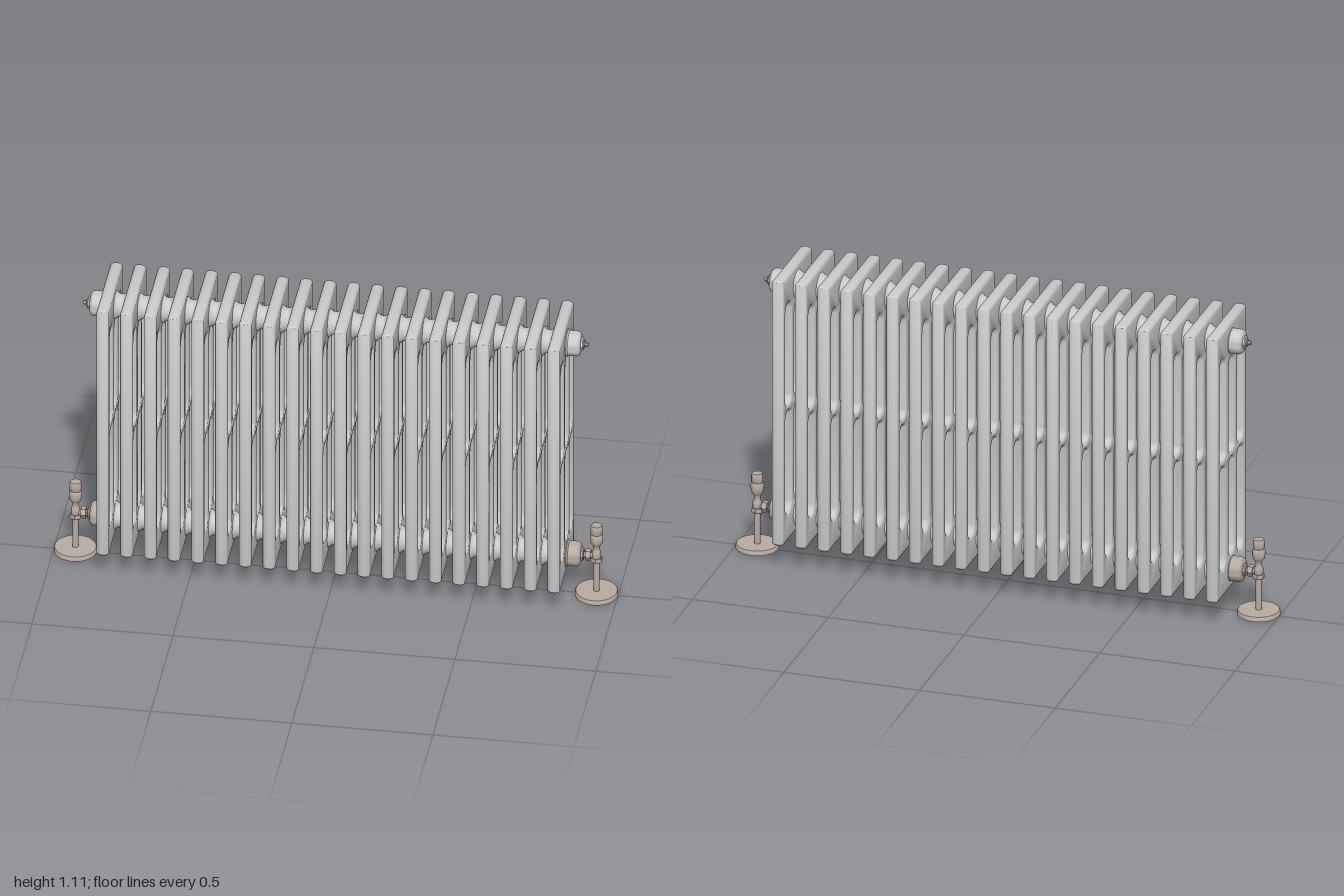
import * as THREE from 'three';
import { toCreasedNormals } from 'three/addons/utils/BufferGeometryUtils.js';

const grey = new THREE.MeshStandardMaterial({ color: 0xcccccc });
const nickel = new THREE.MeshStandardMaterial({ color: 0xb8aca2 });

const COUNT = 20, FIRST = -0.803, PITCH = 0.0842, THICK = 0.044;
const HUB_TOP = 1.032, HUB_LOW = 0.16;

// Turned part about +y from [radius, height] pairs
function turned(profile, sides = 24) {
  const points = profile.map(([r, y]) => new THREE.Vector2(r, y));
  return toCreasedNormals(new THREE.LatheGeometry(points, sides), 0.7);
}

function add(parent, name, geometry, material, x = 0, y = 0, z = 0) {
  const mesh = new THREE.Mesh(geometry, material);
  mesh.name = name;
  mesh.position.set(x, y, z);
  parent.add(mesh);
  return mesh;
}

// Slot with one elliptical end at the bottom and one at the top
function slot(cx, half, low, high, lowRise, highRise) {
  const p = new THREE.Path();
  p.moveTo(cx + half, low + lowRise);
  p.absellipse(cx, high - highRise, half, highRise, 0, Math.PI, false);
  p.absellipse(cx, low + lowRise, half, lowRise, Math.PI, Math.PI * 2, false);
  return p;
}

// One pierced section: four columns, a middle web and two headers
function sectionGeometry() {
  const w = 0.168, low = 0.09, high = 1.105, r = 0.012;
  const s = new THREE.Shape();
  s.absarc(w - r, high - r, r, 0, Math.PI / 2, false);
  s.absarc(-w + r, high - r, r, Math.PI / 2, Math.PI, false);
  s.absarc(-w + r, low + r, r, Math.PI, Math.PI * 1.5, false);
  s.absarc(w - r, low + r, r, Math.PI * 1.5, Math.PI * 2, false);
  const rise = 0.022;
  for (const cx of [-0.1, 0.1]) {
    s.holes.push(slot(cx, 0.031, 0.195, 0.584, 0.031, rise));
    s.holes.push(slot(cx, 0.031, 0.612, 0.998, rise, 0.031));
  }
  s.holes.push(slot(0, 0.028, 0.22, 0.584, 0.028, rise));
  s.holes.push(slot(0, 0.028, 0.612, 0.97, rise, 0.028));
  const bevel = 0.018, depth = THICK - 2 * bevel;
  const g = new THREE.ExtrudeGeometry(s, {
    depth, curveSegments: 6, bevelEnabled: true, bevelThickness: bevel,
    bevelSize: 0.0115, bevelOffset: -0.0115, bevelSegments: 3
  });
  g.translate(0, 0, -depth / 2);
  g.rotateY(Math.PI / 2);
  return toCreasedNormals(g, 0.8);
}

// Valve with floor plate, pipe, body and head, joined to the lower hub
function valve(side) {
  const v = new THREE.Group();
  v.name = side > 0 ? 'leftValve' : 'rightValve';
  v.position.x = side * 0.924;
  add(v, 'floorPlate', turned([[0, 0], [0.076, 0], [0.076, 0.013], [0.073, 0.017], [0, 0.017]], 40), nickel);
  add(v, 'pipe', turned([[0.011, 0.015], [0.011, 0.145]], 16), nickel);
  add(v, 'pipeNut', turned([[0, 0.136], [0.02, 0.136], [0.022, 0.14], [0.022, 0.148], [0.02, 0.152], [0, 0.152]], 6), nickel);
  add(v, 'valveBody', turned([[0.013, 0.148], [0.016, 0.155], [0.016, 0.175], [0.012, 0.183], [0.012, 0.2], [0.016, 0.208], [0, 0.208]], 20), nickel);
  add(v, 'valveHead', turned([[0, 0.204], [0.015, 0.204], [0.021, 0.213], [0.023, 0.225], [0.023, 0.243],
    [0.019, 0.25], [0.021, 0.254], [0.021, 0.278], [0.018, 0.285], [0, 0.285]], 24), nickel);
  // Sideways union towards the radiator
  const union = new THREE.Group();
  union.name = 'union';
  union.position.y = HUB_LOW;
  union.rotation.z = side * Math.PI / 2;
  v.add(union);
  add(union, 'tail', turned([[0.01, 0], [0.01, 0.065]], 16), nickel);
  add(union, 'unionNut', turned([[0, 0.02], [0.02, 0.02], [0.022, 0.024], [0.022, 0.034], [0.02, 0.038], [0, 0.038]], 6), nickel);
  return v;
}

// Rounded end boss with a hexagonal plug, pointing outwards
function endBoss(side, y, material, plugged) {
  const b = new THREE.Group();
  b.name = plugged ? 'upperEndBoss' : 'lowerEndBoss';
  b.position.set(side * 0.81, y, 0);
  b.rotation.z = -side * Math.PI / 2;
  add(b, 'boss', turned([[0.05, 0], [0.05, 0.012], [0.045, 0.017], [0.045, 0.046], [0.043, 0.053],
    [0.038, 0.058], [0.03, 0.06], [0, 0.06]], 32), material);
  add(b, 'hexNut', turned([[0.023, 0.058], [0.023, 0.067], [0.02, 0.07], [0, 0.07]], 6), material);
  if (plugged) {
    add(b, 'bleedCollar', turned([[0.014, 0.068], [0.014, 0.074], [0, 0.074]], 16), nickel);
    add(b, 'bleedPin', turned([[0.008, 0.07], [0.008, 0.085], [0, 0.085]], 6), nickel);
  }
  return b;
}

export function createModel() {
  const model = new THREE.Group();
  model.name = 'columnRadiator';

  // Row of sections
  const section = sectionGeometry();
  for (let i = 0; i < COUNT; i++) add(model, 'section', section, grey, FIRST + i * PITCH);

  // Waisted hubs linking neighbouring sections
  const hub = turned([[0.053, -0.024], [0.05, -0.017], [0.045, -0.012], [0.042, -0.005],
    [0.042, 0.005], [0.045, 0.012], [0.05, 0.017], [0.053, 0.024]], 24);
  hub.rotateZ(Math.PI / 2);
  for (let i = 0; i < COUNT - 1; i++) {
    for (const y of [HUB_LOW, HUB_TOP]) add(model, 'hub', hub, grey, FIRST + (i + 0.5) * PITCH, y);
  }

  // Ends
  for (const side of [-1, 1]) {
    model.add(endBoss(side, HUB_TOP, grey, true));
    model.add(endBoss(side, HUB_LOW, nickel, false));
    model.add(valve(side));
  }
  return model;
}
